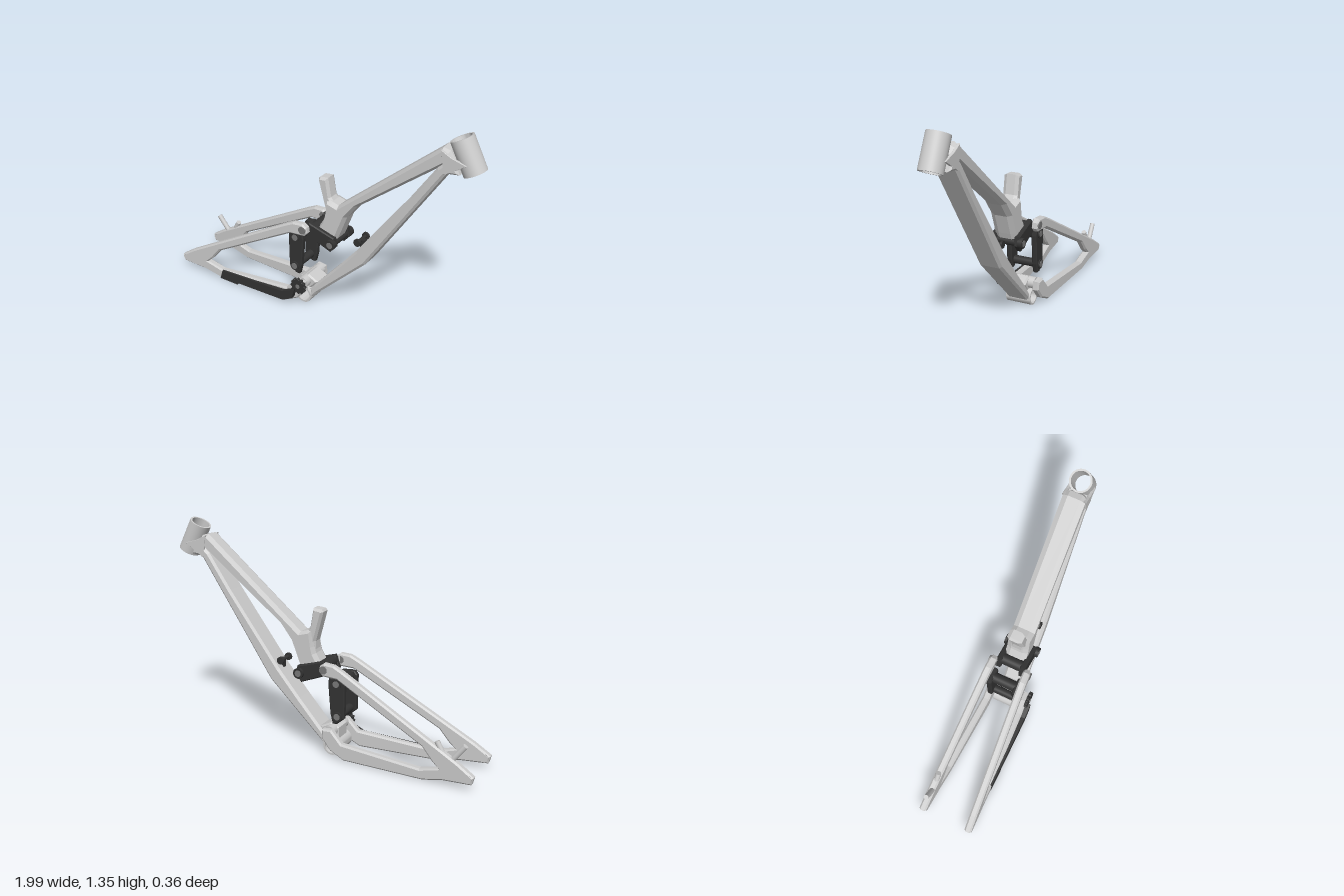
import * as THREE from 'three';
import { toCreasedNormals } from 'three/addons/utils/BufferGeometryUtils.js';

const grey = new THREE.MeshStandardMaterial({ color: 0xcccccc });
const black = new THREE.MeshStandardMaterial({ color: 0x333333 });
const steel = new THREE.MeshStandardMaterial({ color: 0x777777 });

// Side-on outline extruded symmetrically about z = 0, with chamfered edges
function slab(points, half, bevel = 0.01, depthBevel = bevel, hole = null) {
  const shape = new THREE.Shape(points.map(([x, y]) => new THREE.Vector2(x, y)));
  if (hole) shape.holes.push(new THREE.Path().absarc(hole[0], hole[1], hole[2], 0, Math.PI * 2, true));
  const depth = 2 * (half - depthBevel);
  const geo = new THREE.ExtrudeGeometry(shape, {
    depth, bevelEnabled: bevel > 0, bevelSize: bevel, bevelOffset: -bevel,
    bevelThickness: depthBevel, bevelSegments: 1, curveSegments: 10,
  });
  return geo.translate(0, 0, -depth / 2);
}

// Open tube with wall thickness, axis along y
function pipe(outer, inner, length) {
  const h = length / 2;
  const profile = [[outer, -h], [outer, h], [inner, h], [inner, -h], [outer, -h]];
  return toCreasedNormals(new THREE.LatheGeometry(profile.map(([x, y]) => new THREE.Vector2(x, y)), 40), 0.6);
}

export function createModel() {
  const model = new THREE.Group();
  const add = (name, geo, material = grey, x = 0, y = 0, z = 0) => {
    const mesh = new THREE.Mesh(geo, material);
    mesh.name = name;
    mesh.position.set(x, y, z);
    model.add(mesh);
    return mesh;
  };
  // Cylinder lying along z
  const pin = (name, x, y, z, r, length, material = black) =>
    add(name, new THREE.CylinderGeometry(r, r, length, 28).rotateX(Math.PI / 2), material, x, y, z);
  // Round post between two points
  const post = (name, a, b, r, material = grey) => {
    const from = new THREE.Vector3(...a), to = new THREE.Vector3(...b);
    const dir = to.clone().sub(from);
    const mesh = add(name, new THREE.CylinderGeometry(r, r, dir.length(), 16), material);
    mesh.position.copy(from.add(to).multiplyScalar(0.5));
    mesh.quaternion.setFromUnitVectors(new THREE.Vector3(0, 1, 0), dir.normalize());
  };

  // Front triangle
  const head = add('headTube', pipe(0.066, 0.055, 0.198), grey, 0.893, 1.23);
  head.rotation.z = Math.atan2(0.09, 0.176);
  add('downTube', slab([
    [0.845, 1.205], [0.815, 1.205], [0.751, 1.147], [0.607, 0.935], [0.275, 0.484], [0.136, 0.318],
    [-0.02, 0.14], [-0.05, 0.1], [-0.048, 0.035], [0.0, 0.085], [0.334, 0.409], [0.805, 1.126], [0.878, 1.135],
  ], 0.073, 0.014));
  add('topTube', slab([
    [0.767, 1.26], [0.81, 1.25], [0.838, 1.208], [0.265, 0.762], [0.195, 0.67], [0.147, 0.545],
    [0.12, 0.48], [0.03, 0.5], [0.0, 0.55], [0.035, 0.61], [0.045, 0.65], [0.06, 0.75], [0.095, 0.742], [0.136, 0.73],
  ], 0.068, 0.016, 0.03));
  add('seatTube', slab([
    [-0.008, 0.862], [0.003, 0.875], [0.056, 0.88], [0.077, 0.762], [0.11, 0.72], [0.1, 0.62], [0.04, 0.62], [0.042, 0.68],
  ], 0.047, 0.012, 0.02));
  for (const side of [1, -1]) {
    add('headCheek', slab([[0.77, 1.255], [0.79, 1.12], [0.805, 1.126], [0.915, 1.2], [0.83, 1.225]],
      0.008, 0.002), grey, 0, 0, side * 0.065);
  }

  // Bottom bracket and main pivot
  add('bottomBracketShell', pipe(0.056, 0.045, 0.164).rotateX(Math.PI / 2), grey, -0.09, 0.056);
  add('pivotLug', slab([[0.0, 0.16], [-0.07, 0.195], [-0.125, 0.17], [-0.125, 0.102], [-0.05, 0.102]], 0.06));
  pin('mainPivotTube', -0.083, 0.152, 0, 0.036, 0.2, grey);

  // Rear triangle sides: C-shaped outlines leaned outward toward the dropouts
  const stayOutline = [
    [-0.998, 0.085], [-0.985, 0.04], [-0.816, 0.03], [-0.698, 0.004], [-0.19, 0.004], [-0.1, 0.05],
    [-0.045, 0.12], [-0.05, 0.175], [-0.11, 0.18], [-0.18, 0.104], [-0.676, 0.067], [-0.79, 0.095],
    [-0.75, 0.13], [-0.687, 0.206], [-0.147, 0.5], [-0.05, 0.505], [-0.028, 0.53], [-0.033, 0.565],
    [-0.06, 0.585], [-0.125, 0.58], [-0.18, 0.553], [-0.9, 0.15],
  ];
  for (const side of [1, -1]) {
    const geo = slab(stayOutline, 0.023, 0.01, 0.01, [-0.962, 0.072, 0.015]);
    const pos = geo.attributes.position;
    for (let i = 0; i < pos.count; i++) pos.setZ(i, pos.getZ(i) + side * (0.107 - 0.05 * pos.getX(i)));
    geo.computeVertexNormals();
    add('rearStay', geo);
    pin('dropoutBoss', -0.962, 0.072, side * 0.15, 0.02, 0.03, steel);
    pin('stayPivotBolt', -0.06, 0.545, side * 0.112, 0.024, 0.05, steel);
  }

  // Chainstay guard: inner face follows the stay, outer face stays flat
  const guard = slab([
    [-0.67, 0.066], [-0.19, 0.086], [-0.1, 0.13], [-0.12, 0.06], [-0.19, 0.022], [-0.54, 0.014], [-0.55, 0.001], [-0.69, 0.001],
  ], 0.02, 0, 0);
  const gp = guard.attributes.position;
  for (let i = 0; i < gp.count; i++) gp.setZ(i, gp.getZ(i) > 0 ? 0.166 : 0.1 - 0.05 * gp.getX(i));
  guard.computeVertexNormals();
  add('chainstayGuard', guard, black);

  // Toothed guide wheel on the main pivot
  const teeth = [];
  for (let i = 0; i < 48; i++) {
    const r = i % 4 < 2 ? 0.054 : 0.047, a = (i / 48) * Math.PI * 2;
    teeth.push([r * Math.cos(a), r * Math.sin(a)]);
  }
  add('guideWheel', slab(teeth, 0.01, 0.002), black, -0.083, 0.152, 0.142);
  pin('guideWheelHub', -0.083, 0.152, 0.14, 0.014, 0.032, steel);

  // Rocker and upright links, mirrored left and right
  for (const side of [1, -1]) {
    add('rockerLink', slab([[-0.04, 0.582], [0.135, 0.532], [0.148, 0.475], [0.11, 0.432], [-0.07, 0.502]],
      0.017, 0.006), black, 0, 0, side * 0.075);
    pin('rockerBolt', 0.12, 0.49, side * 0.096, 0.032, 0.03);
    pin('rockerBoltCap', 0.12, 0.49, side * 0.1, 0.02, 0.026, steel);
    add('uprightLink', slab([
      [-0.182, 0.472], [-0.165, 0.495], [-0.08, 0.492], [-0.075, 0.46], [-0.09, 0.27],
      [-0.105, 0.21], [-0.13, 0.21], [-0.178, 0.25],
    ], 0.017, 0.006), black, 0, 0, side * 0.085);
    for (const [x, y] of [[-0.13, 0.462], [-0.136, 0.26]]) {
      pin('uprightBolt', x, y, side * 0.098, 0.03, 0.02);
      pin('uprightBoltCap', x, y, side * 0.1, 0.02, 0.022, steel);
    }
    pin('mountDisc', 0.272, 0.53, side * 0.048, 0.023, 0.014);
  }
  pin('rockerAxle', 0.12, 0.49, 0, 0.022, 0.18);
  pin('rockerBridge', -0.02, 0.54, 0, 0.035, 0.14);
  pin('uprightUpperBar', -0.13, 0.462, 0, 0.033, 0.16);
  pin('uprightLowerBar', -0.136, 0.26, 0, 0.026, 0.16);

  // Shock mount on the down tube
  pin('mountShaft', 0.272, 0.53, 0, 0.011, 0.09);
  add('mountFoot', new THREE.BoxGeometry(0.03, 0.06, 0.03), black, 0.285, 0.505);

  // Brake mount posts on the right stay
  post('brakePost', [-0.935, 0.25, -0.142], [-0.855, 0.145, -0.145], 0.016);
  post('brakePost', [-0.77, 0.248, -0.142], [-0.805, 0.185, -0.145], 0.016);
  return model;
}
